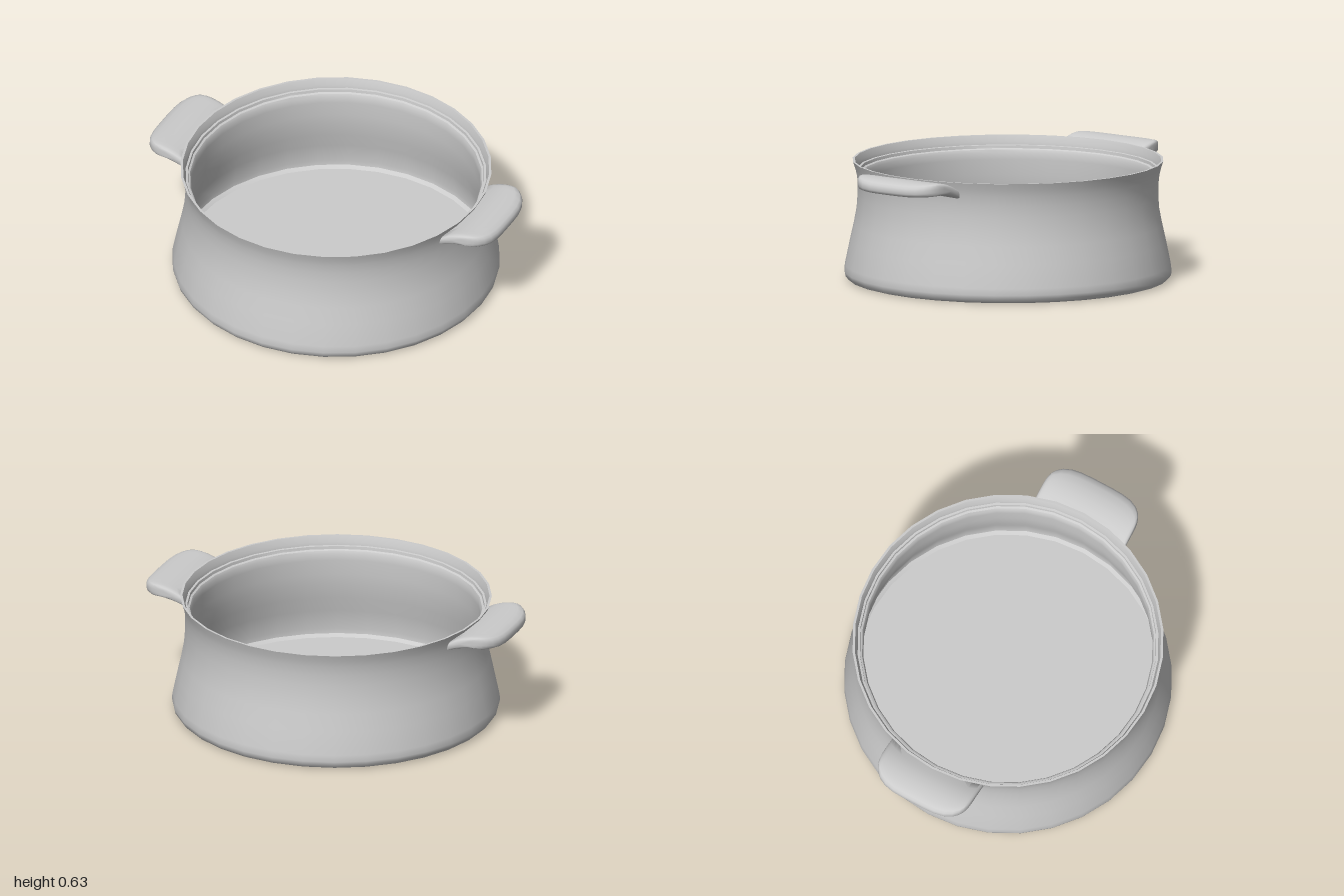
import * as THREE from 'three';
import { toCreasedNormals } from 'three/addons/utils/BufferGeometryUtils.js';

const material = new THREE.MeshStandardMaterial({ color: 0xcccccc });

// Pot wall: outside from the base up, over the rim, down the lid ledges to the floor
function makePot() {
  const profile = [
    [0, 0], [0.8, 0], [0.825, 0.007], [0.84, 0.025], [0.845, 0.045], [0.84, 0.08],
    [0.815, 0.2], [0.795, 0.29], [0.782, 0.36], [0.776, 0.44], [0.776, 0.5],
    [0.782, 0.55], [0.79, 0.585], [0.802, 0.62],
    [0.79, 0.62], [0.778, 0.588], [0.776, 0.572], [0.765, 0.57], [0.763, 0.555],
    [0.753, 0.55], [0.746, 0.535], [0.746, 0.5], [0.748, 0.42], [0.754, 0.36],
    [0.768, 0.28], [0.788, 0.2], [0.81, 0.09], [0.808, 0.065], [0.79, 0.05], [0, 0.05],
  ].map(([r, y]) => new THREE.Vector2(r, y));
  const geometry = toCreasedNormals(new THREE.LatheGeometry(profile, 32), 0.6);
  const pot = new THREE.Mesh(geometry, material);
  pot.name = 'pot';
  return pot;
}

// Arched lug handle: cross-sections along z, running from the curved wall to a rounded tip
function makeHandle() {
  const half = 0.265;
  const top = (x) => 0.63 - 1.9 * (x - 0.9) ** 2;
  const bottom = (x) => 0.567 - 1.2 * (x - 0.9) ** 2;
  // u runs from wall to tip, v from underside to top
  const section = [
    [0, 0], [0, 1], [0.2, 1], [0.4, 1], [0.6, 1], [0.8, 1], [0.93, 0.96], [0.985, 0.83],
    [1, 0.6], [1, 0.35], [0.98, 0.12], [0.93, 0], [0.7, 0], [0.45, 0], [0.2, 0],
  ];
  // thickness is reduced at the very ends to round them over
  const halfStations = [[1, 0.55], [0.985, 0.8], [0.95, 0.95], [0.9, 1], [0.8, 1], [0.65, 1], [0.45, 1], [0.22, 1]];
  const stations = [
    ...halfStations.map(([t, k]) => [-t * half, k]),
    [0, 1],
    ...halfStations.slice().reverse().map(([t, k]) => [t * half, k]),
  ];

  const positions = [];
  for (const [z, k] of stations) {
    const outer = 0.86 + 0.14 * Math.sqrt(Math.max(0, 1 - (Math.abs(z) / half) ** 4));
    for (const [u, v] of section) {
      const inner = Math.sqrt((0.772 + 0.014 * v) ** 2 - z * z);
      const x = THREE.MathUtils.lerp(inner, outer, u);
      const y = THREE.MathUtils.lerp(bottom(x), top(x), 0.5 + (v - 0.5) * k);
      positions.push(x, y, z);
    }
  }

  const n = section.length;
  const last = (stations.length - 1) * n;
  const indices = [];
  for (let i = 0; i < stations.length - 1; i++) {
    for (let j = 0; j < n; j++) {
      const a = i * n + j, b = i * n + (j + 1) % n;
      indices.push(a, a + n, b, b, a + n, b + n);
    }
  }
  // End caps
  const centre = positions.length / 3;
  const capY = (top(0.8) + bottom(0.8)) / 2;
  positions.push(0.8, capY, -half, 0.8, capY, half);
  for (let j = 0; j < n; j++) {
    const next = (j + 1) % n;
    indices.push(centre, j, next, centre + 1, last + next, last + j);
  }

  const geometry = new THREE.BufferGeometry();
  geometry.setAttribute('position', new THREE.Float32BufferAttribute(positions, 3));
  geometry.setIndex(indices);
  return toCreasedNormals(geometry, 0.9);
}

export function createModel() {
  const group = new THREE.Group();
  group.name = 'cookingPot';
  group.add(makePot());

  // The same handle on both sides
  const handleGeometry = makeHandle();
  for (const [name, angle] of [['leftHandle', 0], ['rightHandle', Math.PI]]) {
    const handle = new THREE.Mesh(handleGeometry, material);
    handle.name = name;
    handle.rotation.y = angle;
    group.add(handle);
  }
  return group;
}
